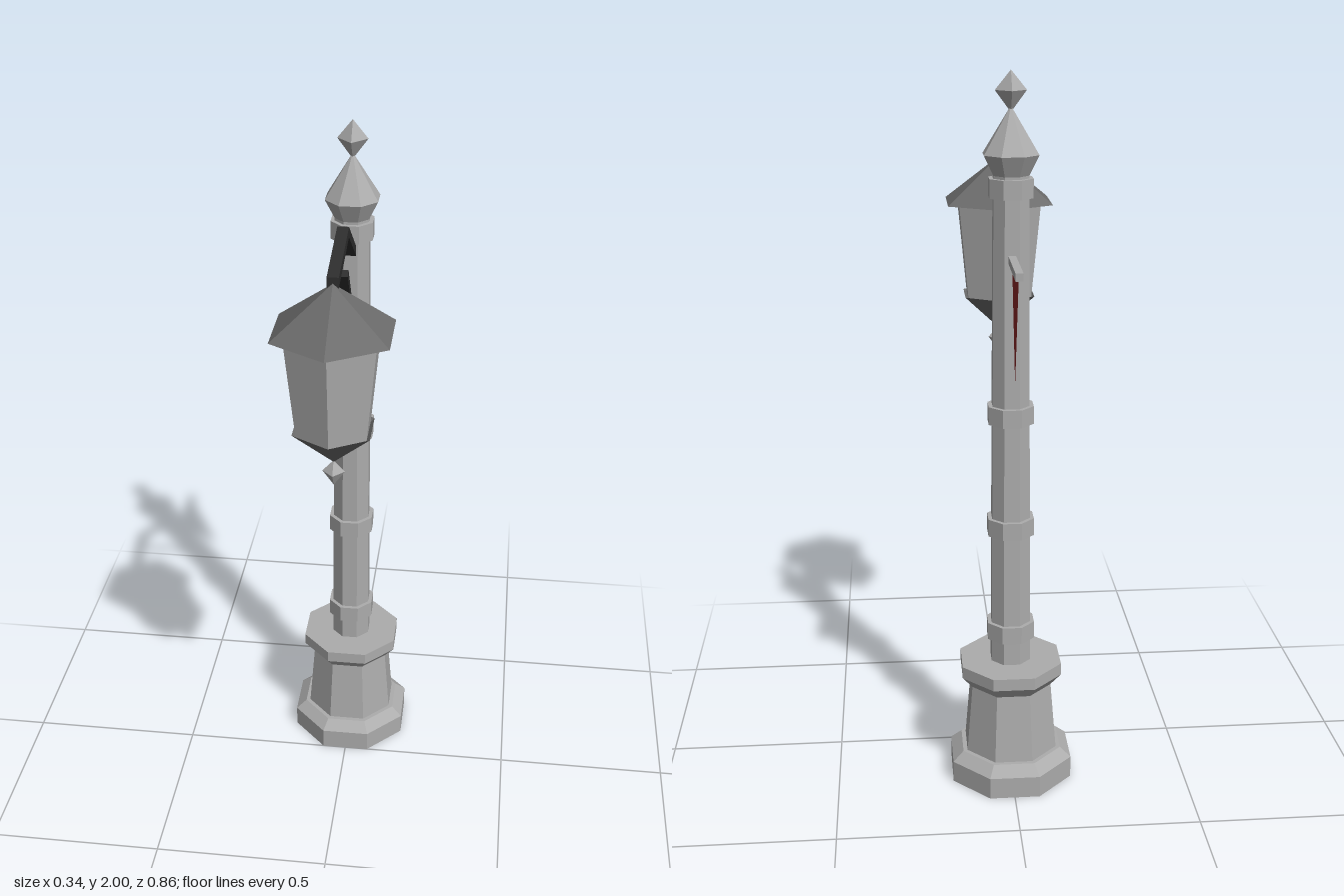
import * as THREE from 'three';

const POST_Z = -0.17;
const LAMP_Z = 0.255;

function material(name, color) {
  const m = new THREE.MeshStandardMaterial({ color, flatShading: true, side: THREE.DoubleSide });
  m.name = name;
  return m;
}

export function createModel() {
  const stone = material('stone grey', 0xacacac);
  const roofGrey = material('roof grey', 0x6c6c6c);
  const iron = material('dark iron', 0x2e2e2e);
  const red = material('banner red', 0x8a2626);

  const model = new THREE.Group();
  model.name = 'streetLamp';

  function add(parent, name, geometry, mat) {
    const mesh = new THREE.Mesh(geometry, mat);
    mesh.name = name;
    parent.add(mesh);
    return mesh;
  }

  // Faceted solid of revolution; profile pairs are [radius, y]
  function turned(parent, name, profile, sides, mat, turn = 0) {
    const points = profile.map(([r, y]) => new THREE.Vector2(r, y));
    return add(parent, name, new THREE.LatheGeometry(points, sides, turn), mat);
  }

  // Eight-sided part with flats on the axes; profile gives half widths across flats
  function octagon(parent, name, profile, mat) {
    const k = 1 / Math.cos(Math.PI / 8);
    return turned(parent, name, profile.map(([r, y]) => [r * k, y]), 8, mat, Math.PI / 8);
  }

  // Side outline in [z, y], given a width across x
  function sideCut(parent, name, outline, width, mat) {
    const shape = new THREE.Shape(outline.map(([z, y]) => new THREE.Vector2(z, y)));
    const geometry = new THREE.ExtrudeGeometry(shape, { depth: width, bevelEnabled: false });
    geometry.translate(0, 0, -width / 2).rotateY(-Math.PI / 2);
    return add(parent, name, geometry, mat);
  }

  // Post
  const post = new THREE.Group();
  post.name = 'post';
  post.position.z = POST_Z;
  model.add(post);

  octagon(post, 'base', [
    [0.17, 0], [0.17, 0.063], [0.14, 0.09], [0.128, 0.09], [0.112, 0.29],
    [0.14, 0.325], [0.14, 0.36], [0.05, 0.36],
  ], stone);
  octagon(post, 'shaft', [[0.055, 0.36], [0.046, 1.74]], stone);

  // Collars around the shaft: [bottom, top, half width]
  for (const [low, high, r] of [
    [0.43, 0.48, 0.065], [0.745, 0.795, 0.063], [1.07, 1.12, 0.061], [1.68, 1.73, 0.057],
  ]) {
    octagon(post, 'collar', [[0.045, low], [r, low], [r, high], [0.045, high]], stone);
  }

  // Finial
  octagon(post, 'finial', [[0.045, 1.735], [0.071, 1.79], [0.004, 1.905]], stone);
  turned(post, 'finialTip', [[0, 1.895], [0.041, 1.95], [0, 2]], 4, stone);

  // Lantern
  const lantern = new THREE.Group();
  lantern.name = 'lantern';
  lantern.position.z = LAMP_Z;
  model.add(lantern);

  turned(lantern, 'roof', [[0.172, 1.6], [0, 1.728]], 6, roofGrey);
  turned(lantern, 'panes', [[0.105, 1.322], [0.136, 1.615]], 6, stone);
  turned(lantern, 'lowerCone', [[0, 1.225], [0.116, 1.33]], 6, roofGrey);
  turned(lantern, 'pendant', [[0, 1.155], [0.03, 1.197], [0, 1.23]], 4, stone);

  // Bent arm with mitred elbow
  const path = [[-0.14, 1.645], [0.043, 1.777], [LAMP_Z, 1.73]];
  const half = 0.014;
  sideCut(model, 'arm', [
    ...path.map(([z, y]) => [z, y - half]),
    ...path.map(([z, y]) => [z, y + half]).reverse(),
  ], 0.03, iron);

  // Brace below the arm
  sideCut(model, 'brace', [
    [-0.14, 1.365], [0.069, 1.665], [0.052, 1.677], [-0.14, 1.40],
  ], 0.03, iron);

  // Banner and its rod
  const rod = add(model, 'bannerRod', new THREE.BoxGeometry(0.02, 0.02, 0.215), stone);
  rod.position.set(0, 1.525, -0.3225);

  const cloth = new THREE.Shape([[0.215, 1.516], [0.31, 1.215], [0.405, 1.516]]
    .map(([z, y]) => new THREE.Vector2(z, y)));
  add(model, 'banner', new THREE.ShapeGeometry(cloth).rotateY(Math.PI / 2), red);

  return model;
}
